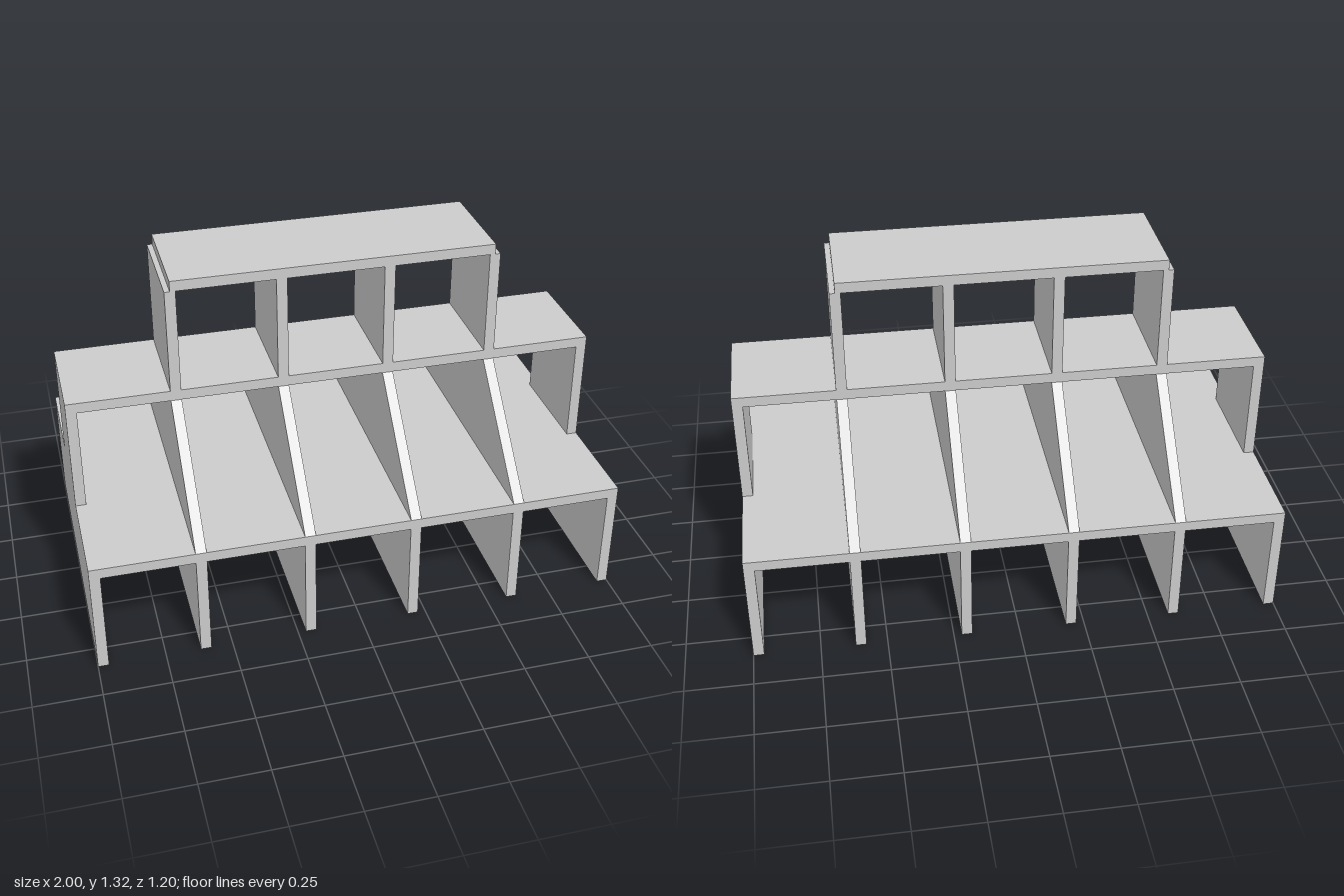
import * as THREE from 'three';

const T = 0.04; // panel thickness
const INNER = [-0.6, -0.2, 0.2, 0.6];
const OUTER = [-0.98, 0.98];

export function createModel() {
  const group = new THREE.Group();
  const material = new THREE.MeshStandardMaterial({ color: 0xcccccc, flatShading: true });

  function add(name, geometry, x, y, z) {
    const mesh = new THREE.Mesh(geometry, material);
    mesh.name = name;
    mesh.position.set(x, y, z);
    group.add(mesh);
    return mesh;
  }

  // Horizontal slab resting on height y
  const slab = (name, width, y, depth) =>
    add(name, new THREE.BoxGeometry(width, T, depth), 0, y + T / 2, 0);

  // Upright panel, 0.4 tall and 0.4 deep
  const panel = (name, x, y, z) =>
    add(name, new THREE.BoxGeometry(T, 0.4, 0.4), x, y + 0.2, z);

  // Ground storey: three panels in depth per wall
  for (const x of [...OUTER, ...INNER])
    for (const z of [-0.4, 0, 0.4]) panel('groundWall', x, 0, z);
  slab('lowerDeck', 2, 0.4, 1.2);

  // Middle storey walls
  for (const x of [...OUTER, ...INNER]) panel('middleWall', x, 0.44, 0);
  slab('upperDeck', 2, 0.84, 0.4);

  // Sloping triangular braces at front and back
  const triangle = new THREE.Shape([
    new THREE.Vector2(0, 0), new THREE.Vector2(0.4, 0), new THREE.Vector2(0, 0.4),
  ]);
  const brace = new THREE.ExtrudeGeometry(triangle, { depth: T, bevelEnabled: false });
  brace.translate(0, 0, -T / 2);
  for (const x of INNER)
    for (const side of [-1, 1])
      add('brace', brace, x, 0.44, 0.2 * side).rotation.y = -side * Math.PI / 2;

  // Top storey and roof
  for (const x of INNER) panel('topWall', x, 0.88, 0);
  slab('roof', 1.2, 1.28, 0.4);

  return group;
}
